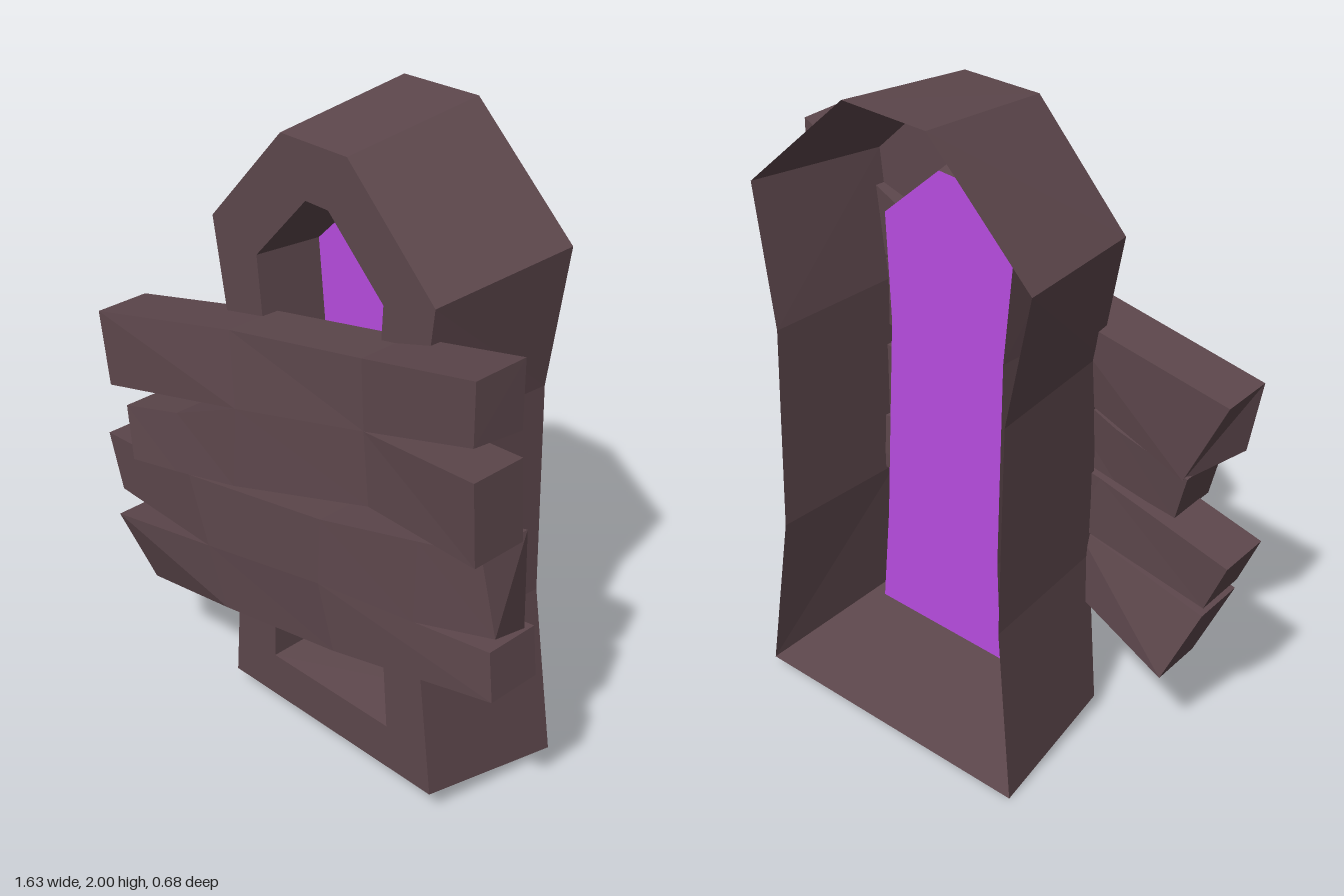
import * as THREE from 'three';

const wood = new THREE.MeshStandardMaterial({ color: 0x5d474c, side: THREE.DoubleSide });
wood.name = 'dark wood';
const glass = new THREE.MeshStandardMaterial({ color: 0xb84de0, side: THREE.DoubleSide });
glass.name = 'purple glass';

// Skin a list of equal-length rings; optionally close both ends with quads
function loft(rings, caps = false) {
  const pos = [];
  const quad = (a, b, c, d) => [a, b, c, a, c, d].forEach(p => pos.push(...p));
  for (let r = 0; r < rings.length - 1; r++) {
    const A = rings[r], B = rings[r + 1], n = A.length;
    for (let i = 0; i < n; i++) {
      const j = (i + 1) % n;
      quad(A[i], A[j], B[j], B[i]);
    }
  }
  if (caps) {
    quad(...[...rings[0]].reverse());
    quad(...rings[rings.length - 1]);
  }
  const g = new THREE.BufferGeometry();
  g.setAttribute('position', new THREE.Float32BufferAttribute(pos, 3));
  g.computeVertexNormals();
  return g;
}

// Outlines run counter-clockwise from the bottom left corner
const backOuter = [[-0.4, 0], [0.548, 0.033], [0.46, 0.58], [0.44, 1.25], [0.503, 1.685],
  [0.155, 2], [-0.12, 1.99], [-0.45, 1.65], [-0.37, 1.25], [-0.355, 0.58]];
const frontOuter = [[-0.365, 0.063], [0.49, 0.09], [0.43, 0.58], [0.41, 1.25], [0.457, 1.645],
  [0.14, 1.95], [-0.11, 1.945], [-0.4, 1.625], [-0.335, 1.25], [-0.325, 0.58]];
const opening = [[-0.18, 0.22], [0.31, 0.235], [0.285, 0.58], [0.255, 1.25], [0.275, 1.59],
  [0.07, 1.785], [-0.016, 1.785], [-0.217, 1.565], [-0.185, 1.25], [-0.165, 0.58]];
const pane = [[-0.165, 0.237], [0.298, 0.255], [0.27, 0.58], [0.235, 1.25], [0.25, 1.58],
  [0.055, 1.755], [-0.005, 1.75], [-0.195, 1.56], [-0.165, 1.25], [-0.15, 0.58]];
const PANE_Z = -0.09;
const at = (ring, z) => ring.map(([x, y]) => [x, y, z]);

// Plank stations: top x, y, bottom x, y, front z at top and bottom, x and y shift of the rear lower edge
const THICK = 0.172;
const planks = {
  upperBoardTopHalf: [
    [-0.76, 1.25, -0.72, 1.02, 0.275, 0.28, 0.09, -0.05], [-0.2, 1.385, -0.15, 1.17, 0.24, 0.27, 0, 0],
    [0.32, 1.5, 0.34, 1.3, 0.24, 0.25, 0, 0], [0.775, 1.645, 0.785, 1.475, 0.315, 0.325, 0, -0.02]],
  upperBoardBottomHalf: [
    [-0.645, 0.98, -0.6, 0.82, 0.28, 0.3, 0, 0], [-0.41, 1.05, -0.4, 0.865, 0.275, 0.295, 0, 0],
    [-0.15, 1.17, -0.15, 0.925, 0.27, 0.285, 0, 0],
    [0.34, 1.3, 0.37, 1.09, 0.25, 0.26, 0, 0], [0.8, 1.39, 0.815, 1.155, 0.335, 0.335, 0, 0]],
  lowerBoardTopHalf: [
    [-0.82, 0.79, -0.75, 0.62, 0.23, 0.24, 0, 0], [-0.36, 0.865, -0.27, 0.665, 0.28, 0.29, 0, 0],
    [0.2, 0.975, 0.2, 0.77, 0.275, 0.285, 0, 0], [0.54, 1.06, 0.54, 0.81, 0.25, 0.26, 0, -0.04],
    [0.74, 1.105, 0.8, 0.88, 0.228, 0.228, -0.05, -0.08]],
  lowerBoardBottomHalf: [
    [-0.725, 0.555, -0.64, 0.33, 0.28, 0.215, 0, 0], [-0.27, 0.665, -0.2, 0.475, 0.29, 0.285, 0, 0],
    [0.2, 0.77, 0.25, 0.56, 0.285, 0.275, 0, 0], [0.76, 0.8, 0.78, 0.65, 0.2, 0.205, 0, 0]],
};

function plankGeometry(stations) {
  return loft(stations.map(([xt, yt, xb, yb, zt, zb, dx, dy]) => [
    [xt, yt, zt - THICK], [xt, yt, zt], [xb, yb, zb], [xb + dx, yb + dy, zb - THICK],
  ]), true);
}

export function createModel() {
  const model = new THREE.Group();
  model.name = 'boardedWindow';
  const add = (name, geometry, material) => {
    const mesh = new THREE.Mesh(geometry, material);
    mesh.name = name;
    model.add(mesh);
    return mesh;
  };

  // Thin hollow frame, open at the rear: outer wall, front face, reveal back to the glass
  add('windowFrame', loft([at(backOuter, -0.34), at(frontOuter, 0.12),
    at(opening, 0.12), at(pane, PANE_Z)]), wood);

  // Recessed glass
  const shape = new THREE.Shape(pane.map(([x, y]) => new THREE.Vector2(x, y)));
  add('windowPane', new THREE.ShapeGeometry(shape), glass).position.z = PANE_Z;

  // Two boards with split ends, each made of two joined halves
  for (const [name, stations] of Object.entries(planks)) add(name, plankGeometry(stations), wood);

  return model;
}
